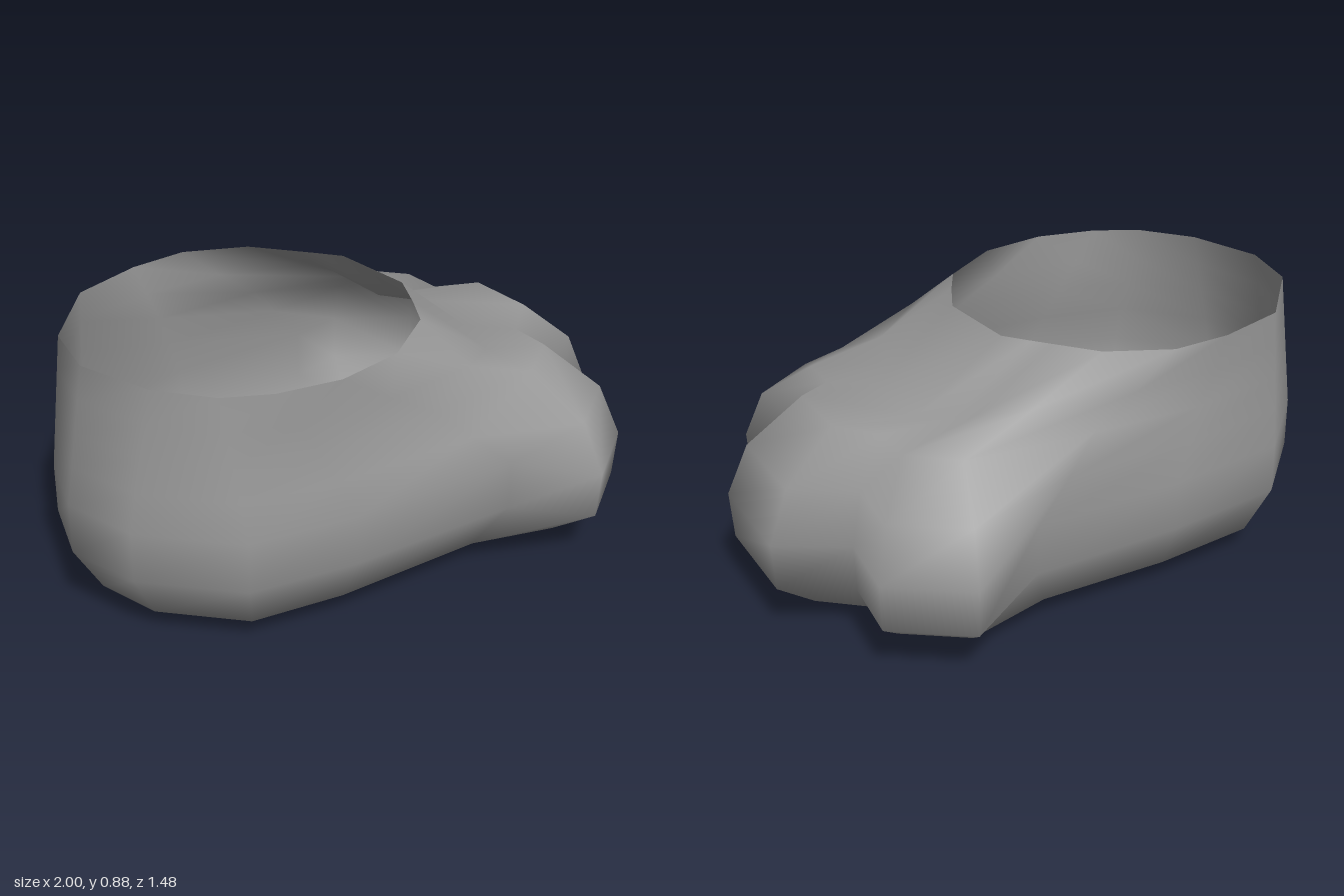
import * as THREE from 'three';

// Plan columns, heel round to heel: outline x,z | cuff x,z | toe weight | 1 in a valley between toes
const columns = [
  [-1, 0.05, -0.925, 0.05, 0, 0],
  [-0.92, 0.3, -0.83, 0.3, 0, 0],
  [-0.66, 0.55, -0.69, 0.455, 0, 0],
  [-0.3, 0.6, -0.54, 0.525, 0.03, 0],
  [0.3, 0.6, -0.33, 0.558, 0.15, 0],
  [0.575, 0.737, -0.1, 0.51, 1, 0],
  [0.815, 0.555, 0.1, 0.36, 1, 0],
  [0.78, 0.31, 0.16, 0.24, 1, 1],
  [1, 0.17, 0.22, 0.1, 1, 0],
  [0.985, -0.21, 0.185, -0.19, 1, 0],
  [0.76, -0.33, 0.12, -0.265, 1, 1],
  [0.775, -0.58, 0.07, -0.32, 1, 0],
  [0.525, -0.74, -0.04, -0.44, 1, 0],
  [0.25, -0.58, -0.25, -0.525, 0.15, 0],
  [-0.27, -0.545, -0.45, -0.505, 0.03, 0],
  [-0.69, -0.47, -0.69, -0.42, 0, 0],
  [-0.93, -0.2, -0.89, -0.17, 0, 0],
];

// Vertical profiles from sole to cuff
const heelY = [0.035, 0.08, 0.25, 0.42, 0.55, 0.66, 0.77, 0.88];
const toeY = [0.003, 0.075, 0.18, 0.34, 0.51];
const heelScale = [0.45, 0.86, 1, 1];
const toeScale = [0.54, 0.79, 0.985, 1, 0.9, 0.64];
const valleyScale = [0.62, 0.85, 0.985, 1, 0.91, 0.68];
const { lerp } = THREE.MathUtils;

// Heel columns rise straight to the cuff
function heelPoint([x, z, cx, cz], r) {
  const y = heelY[r];
  if (r < 4) return [lerp(-0.3, x, heelScale[r]), y, z * heelScale[r]];
  const t = (y - 0.42) / 0.46;
  return [lerp(x, cx, t), y, lerp(z, cz, t)];
}

// Toe columns bulge, round over the knuckle and climb the instep
function toePoint([x, z, cx, cz, , valley], r) {
  if (r === 7) return [cx, 0.88, cz];
  const s = (valley ? valleyScale : toeScale)[Math.min(r, 5)];
  const px = lerp(0.3, x, s), pz = z * s;
  if (r === 6) return [lerp(px, cx, 0.48), 0.645 + 0.18 * z * z, lerp(pz, cz, 0.48)];
  const y = r === 5 ? 0.675 - 0.055 * Math.abs(z) - 0.012 * valley : toeY[r];
  return [px, y, pz];
}

function slipperGeometry() {
  const n = columns.length, rings = heelY.length;
  const positions = [], index = [];
  for (let r = 0; r < rings; r++) {
    for (const c of columns) {
      const toe = toePoint(c, r);
      positions.push(...heelPoint(c, r).map((h, k) => lerp(h, toe[k], c[4])));
    }
  }
  // Centre of the closed sole
  const centre = positions.length / 3;
  positions.push(0.05, 0.015, 0);
  for (let i = 0; i < n; i++) {
    const j = (i + 1) % n;
    index.push(centre, j, i);
    for (let r = 0; r < rings - 1; r++) {
      const a = r * n + i, b = r * n + j;
      index.push(a, b, b + n, a, b + n, a + n);
    }
  }
  const geometry = new THREE.BufferGeometry();
  geometry.setAttribute('position', new THREE.Float32BufferAttribute(positions, 3));
  geometry.setIndex(index);
  geometry.computeVertexNormals();
  return geometry;
}

export function createModel() {
  const group = new THREE.Group();
  group.name = 'pawSlipper';
  // Thin open shell with three toes
  const material = new THREE.MeshStandardMaterial({ color: 0x999999, side: THREE.DoubleSide });
  const shell = new THREE.Mesh(slipperGeometry(), material);
  shell.name = 'slipperShell';
  group.add(shell);
  return group;
}
